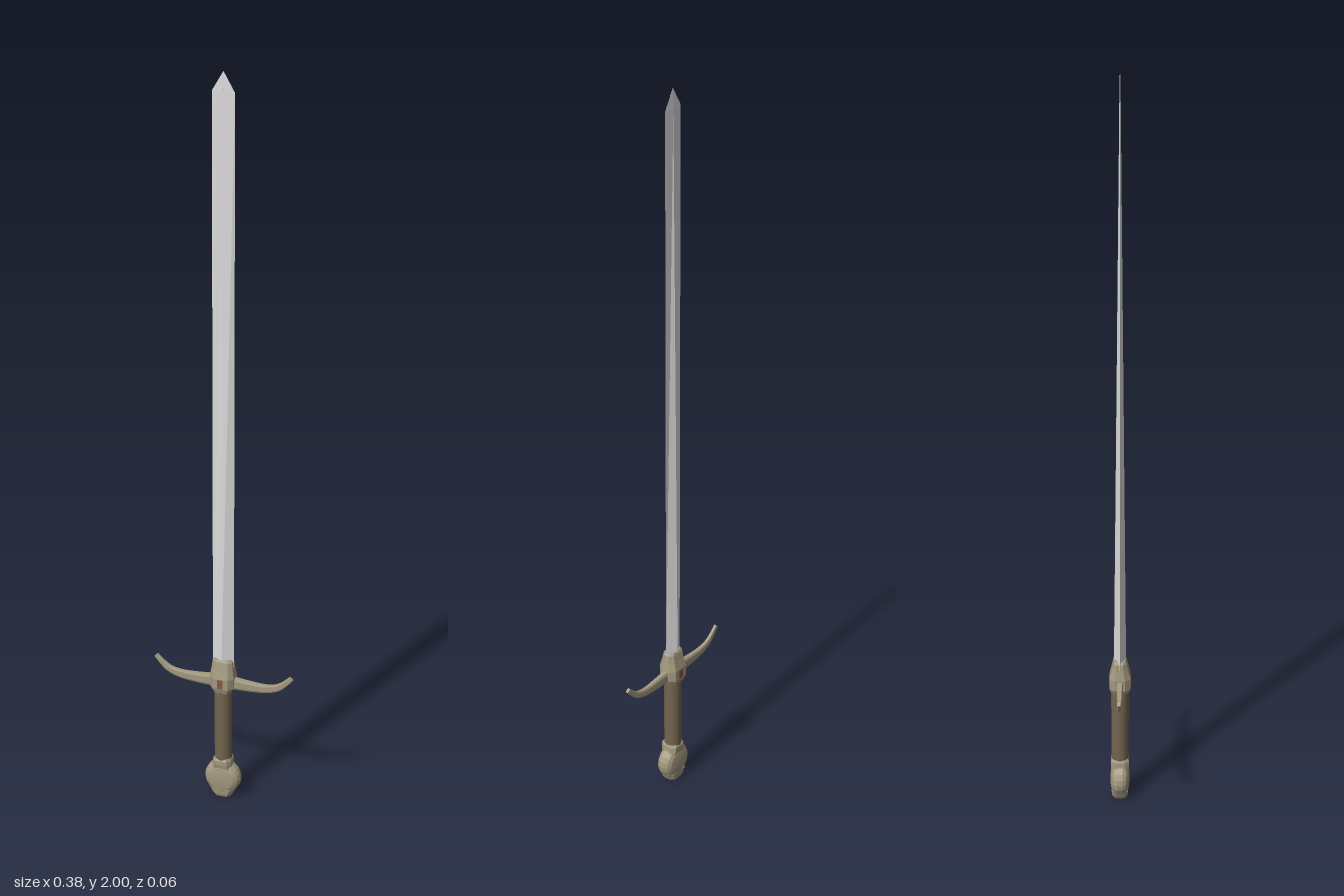
import * as THREE from 'three';
import { toCreasedNormals } from 'three/addons/utils/BufferGeometryUtils.js';

const paint = (name, color) => {
  const m = new THREE.MeshStandardMaterial({ color });
  m.name = name;
  return m;
};

// Faceted skin over a list of rings, each counter-clockwise about the direction of travel
function loft(rings) {
  const pos = [];
  const tri = (...pts) => pts.forEach((p) => pos.push(p.x, p.y, p.z));
  const n = rings[0].length;
  for (let k = 0; k < rings.length - 1; k++) {
    const a = rings[k], b = rings[k + 1];
    for (let i = 0; i < n; i++) {
      const j = (i + 1) % n;
      tri(a[i], a[j], b[j]);
      tri(a[i], b[j], b[i]);
    }
  }
  const first = rings[0], last = rings[rings.length - 1];
  for (let i = 1; i < n - 1; i++) {
    tri(first[0], first[i + 1], first[i]);
    tri(last[0], last[i], last[i + 1]);
  }
  const g = new THREE.BufferGeometry();
  g.setAttribute('position', new THREE.Float32BufferAttribute(pos, 3));
  g.computeVertexNormals();
  return g;
}

// Horizontal rings: diamond, and chamfered rectangle
const diamond = ([y, w, d]) =>
  [[w, 0], [0, -d], [-w, 0], [0, d]].map(([x, z]) => new THREE.Vector3(x, y, z));
const chamfered = ([y, w, d]) => {
  const u = w * 0.65, v = d * 0.5;
  return [[w, v], [w, -v], [u, -d], [-u, -d], [-w, -v], [-w, v], [-u, d], [u, d]]
    .map(([x, z]) => new THREE.Vector3(x, y, z));
};

// Curved guard arm, s = 1 for left and -1 for right
function armGeometry(s) {
  const curve = new THREE.CatmullRomCurve3(
    [[0.015, 0.347], [0.07, 0.345], [0.12, 0.347], [0.15, 0.356], [0.17, 0.372], [0.187, 0.39]]
      .map(([x, y]) => new THREE.Vector3(s * x, y, 0)));
  const zAxis = new THREE.Vector3(0, 0, 1);
  const rings = [];
  for (let k = 0; k <= 16; k++) {
    const t = k / 16;
    const c = curve.getPointAt(t);
    const up = curve.getTangentAt(t).cross(zAxis);
    const h = 0.017 - 0.011 * t, d = 0.009 - 0.005 * t;
    // Flat top and bottom, softly chamfered edges
    rings.push([[1, -0.6], [1, 0.6], [0.7, 1], [-0.7, 1], [-1, 0.6], [-1, -0.6], [-0.7, -1], [0.7, -1]]
      .map(([a, b]) => c.clone().addScaledVector(zAxis, d * a).addScaledVector(up, h * b)));
  }
  return loft(rings);
}

export function createModel() {
  const model = new THREE.Group();
  model.name = 'sword';
  const steel = paint('steel', 0xdcdcdc);
  const metal = paint('aged bronze', 0xa3997f);
  const leather = paint('brown leather', 0x74654f);
  const red = paint('red brown inlay', 0x85584a);

  const add = (name, geometry, material) => {
    const mesh = new THREE.Mesh(geometry, material);
    mesh.name = name;
    model.add(mesh);
    return mesh;
  };

  // Blade with a central ridge, thinning toward the point
  add('blade', loft([[0.39, 0.029, 0.016], [1.95, 0.029, 0.0015], [2, 0.0003, 0.0003]].map(diamond)), steel);

  // Guard
  add('guardBlock', loft([[0.32, 0.024, 0.022], [0.335, 0.032, 0.027], [0.365, 0.033, 0.027],
    [0.39, 0.029, 0.021], [0.41, 0.027, 0.017], [0.416, 0.022, 0.014]].map(chamfered)), metal);
  add('leftGuardArm', armGeometry(1), metal);
  add('rightGuardArm', armGeometry(-1), metal);

  // Smooth grip and its end collar
  const grip = add('grip', new THREE.CylinderGeometry(0.023, 0.023, 0.23, 20), leather);
  grip.position.y = 0.215;
  add('lowerCollar', loft([[0.085, 0.029, 0.021], [0.1, 0.026, 0.024], [0.112, 0.025, 0.024],
    [0.118, 0.022, 0.021]].map(chamfered)), metal);

  // Wheel pommel with bevelled faces
  const profile = [[0, -0.025], [0.02, -0.0245], [0.034, -0.022], [0.044, -0.016], [0.049, -0.007],
    [0.049, 0.007], [0.044, 0.016], [0.034, 0.022], [0.02, 0.0245], [0, 0.025]]
    .map(([r, y]) => new THREE.Vector2(r, y));
  const wheel = new THREE.LatheGeometry(profile, 20).rotateX(Math.PI / 2);
  add('pommel', toCreasedNormals(wheel, 0.2), metal).position.y = 0.056;
  add('pommelCap', loft([[0, 0.021, 0.017], [0.008, 0.028, 0.02], [0.025, 0.036, 0.022]].map(chamfered)), metal);

  // Small inlays on the front and back of the guard block
  for (const s of [1, -1]) {
    const inlay = add(s > 0 ? 'frontInlay' : 'backInlay', new THREE.BoxGeometry(0.014, 0.026, 0.004), red);
    inlay.position.set(0, 0.35, s * 0.0265);
  }
  return model;
}
